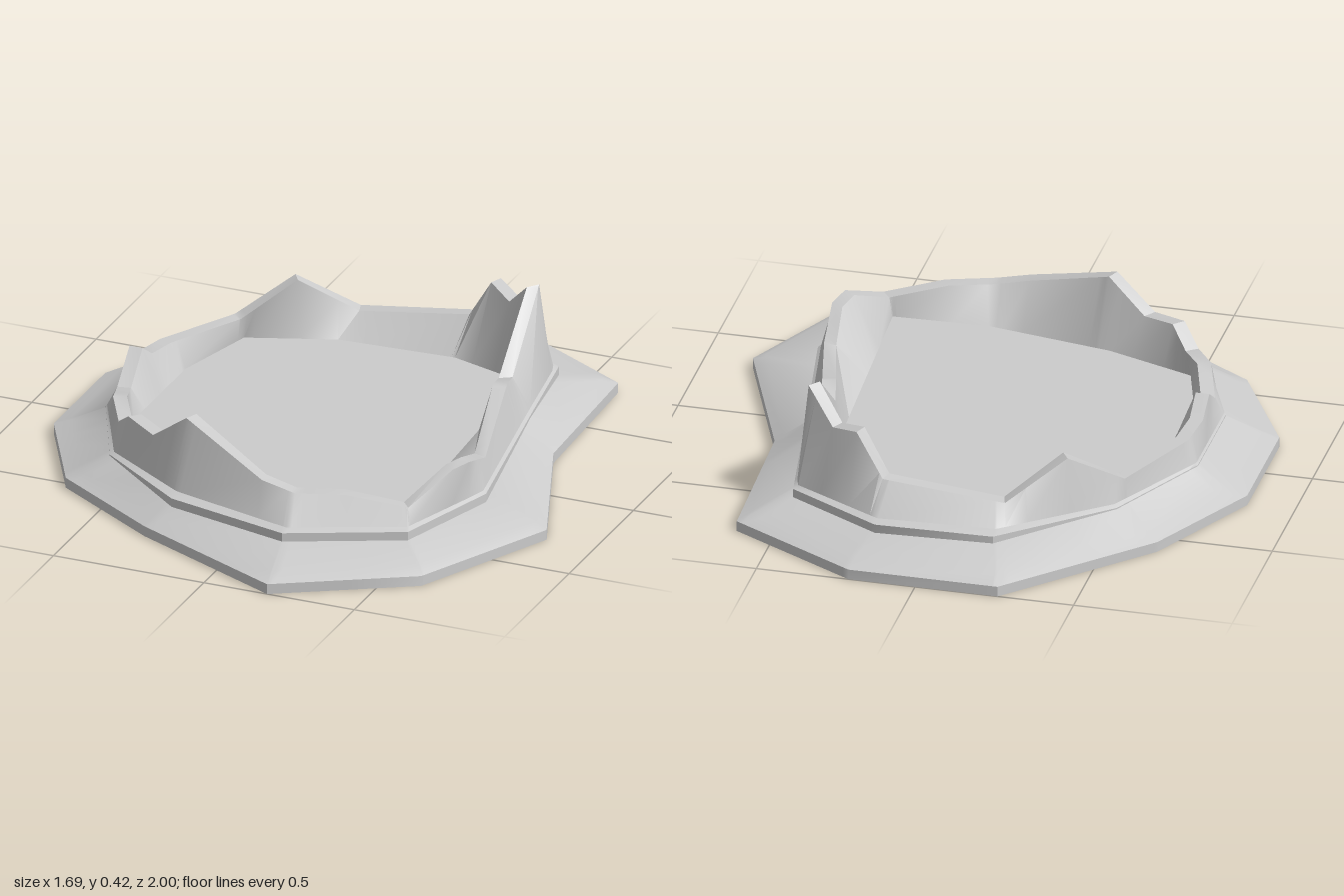
import * as THREE from 'three';
import { toCreasedNormals } from 'three/addons/utils/BufferGeometryUtils.js';

// Every ring is listed around the crater from +x towards +z.
const plan = (y, pts) => pts.map(([x, z, h = y]) => [x, h, z]);

// Ground outline
const outline = [[0.84, 0.3], [0.62, 0.76], [0.21, 1], [-0.3, 0.76], [-0.66, 0.53], [-0.85, 0.18],
  [-0.85, -0.22], [-0.66, -0.59], [-0.26, -1], [0.21, -1], [0.62, -0.77], [0.64, -0.22]];
const base = plan(0, outline);
const edge = plan(0.033, outline);

// Low lip just inside the outline
const lip = plan(0.052, [[0.8, 0.3], [0.6, 0.72], [0.21, 0.94], [-0.28, 0.73], [-0.63, 0.5], [-0.8, 0.17],
  [-0.8, -0.21], [-0.63, -0.56], [-0.24, -0.96], [0.2, -0.95], [0.58, -0.75], [0.61, -0.22]]);

// Terrace: a small vertical step at the front and back that fades out at the sides
const terrace = [[0.63, 0.28, 0.08], [0.52, 0.63, 0.08], [0.17, 0.79, 0.08], [-0.24, 0.69, 0.08],
  [-0.54, 0.47, 0.104], [-0.69, 0.15, 0.104], [-0.69, -0.2, 0.104], [-0.52, -0.54, 0.104],
  [-0.2, -0.82, 0.085], [0.17, -0.83, 0.08], [0.47, -0.66, 0.08], [0.53, -0.3, 0.1]];
const stepFoot = plan(0.1, terrace);
const stepTop = plan(0.108, terrace.map(([x, z]) => [x, z]));

// Foot of the steep wall
const wallFoot = plan(0.115, [[0.62, 0.28], [0.51, 0.61], [0.17, 0.76], [-0.24, 0.65], [-0.53, 0.46],
  [-0.685, 0.15], [-0.685, -0.2], [-0.51, -0.53], [-0.2, -0.78], [0.17, -0.8], [0.465, -0.64], [0.52, -0.3]]);

// Jagged crest: x, y, z
const crest = [[0.585, 0.18, 0.18], [0.6, 0.235, 0.34], [0.58, 0.24, 0.42], [0.5, 0.165, 0.58],
  [0.32, 0.2, 0.64], [0.17, 0.2, 0.69], [0.06, 0.225, 0.69], [-0.24, 0.33, 0.575], [-0.37, 0.23, 0.53],
  [-0.48, 0.245, 0.465], [-0.54, 0.19, 0.4], [-0.61, 0.21, 0.28], [-0.66, 0.17, 0.13],
  [-0.675, 0.25, 0.0], [-0.675, 0.2, -0.08], [-0.66, 0.19, -0.2], [-0.53, 0.18, -0.48],
  [-0.38, 0.29, -0.6], [-0.21, 0.17, -0.71], [0.17, 0.215, -0.73], [0.26, 0.35, -0.7],
  [0.35, 0.325, -0.64], [0.445, 0.42, -0.565], [0.47, 0.225, -0.3], [0.495, 0.25, -0.2]];
const innerCrest = crest.map(([x, y, z]) => {
  const k = 1 - 0.043 / Math.hypot(x, z);
  return [x * k, y, z * k];
});

// Crater floor
const floorRing = plan(0.105, [[0.46, 0.54], [0.16, 0.55], [-0.24, 0.48], [-0.52, 0.38], [-0.575, 0.2],
  [-0.575, -0.2], [-0.5, -0.48], [-0.23, -0.58], [0.15, -0.6], [0.405, -0.52]]);
const ceiling = plan(0.09, terrace.map(([x, z]) => [x, z]));
const hub = (y) => [[0.001, y, 0], [-0.001, y, 0.001], [-0.001, y, -0.001]];

// Shared spoke angles, one through every corner of every ring
const angles = [outline, terrace, ...[lip, crest, floorRing].map((r) => r.map(([x, , z]) => [x, z]))]
  .flat().map(([x, z]) => Math.atan2(z, x)).sort((a, b) => a - b)
  .filter((a, i, all) => i === 0 || a - all[i - 1] > 0.004);

// Point where a spoke crosses a ring
function pointAt(ring, angle) {
  const c = Math.cos(angle), s = Math.sin(angle);
  for (let i = 0; i < ring.length; i++) {
    const a = ring[i], b = ring[(i + 1) % ring.length];
    const ca = c * a[2] - s * a[0], cb = c * b[2] - s * b[0];
    if (ca * cb > 0 || ca === cb) continue;
    const t = ca / (ca - cb);
    const p = a.map((v, k) => v + (b[k] - v) * t);
    if (p[0] * c + p[2] * s > 0) return p;
  }
  return ring[0];
}

// Surface through a list of rings, from outside to inside
function surface(name, rings, crease = 0.6) {
  const rows = rings.map((ring) => angles.map((a) => pointAt(ring, a)));
  const pos = [];
  for (let r = 0; r + 1 < rows.length; r++) {
    for (let i = 0; i < angles.length; i++) {
      const j = (i + 1) % angles.length, A = rows[r], B = rows[r + 1];
      pos.push(...A[i], ...B[i], ...A[j], ...A[j], ...B[i], ...B[j]);
    }
  }
  const geo = new THREE.BufferGeometry();
  geo.setAttribute('position', new THREE.Float32BufferAttribute(pos, 3));
  const mesh = new THREE.Mesh(toCreasedNormals(geo, crease),
    new THREE.MeshStandardMaterial({ color: 0xcccccc, side: THREE.DoubleSide }));
  mesh.name = name;
  return mesh;
}

export function createModel() {
  const group = new THREE.Group();
  group.name = 'crater';
  group.add(
    surface('outerSlope', [base, edge, lip, stepFoot, stepTop, wallFoot]),
    surface('craterWall', [wallFoot, crest, innerCrest, floorRing]),
    surface('craterFloor', [floorRing, hub(0.105)]),
    surface('underside', [ceiling, hub(0.09)]),
  );
  return group;
}
